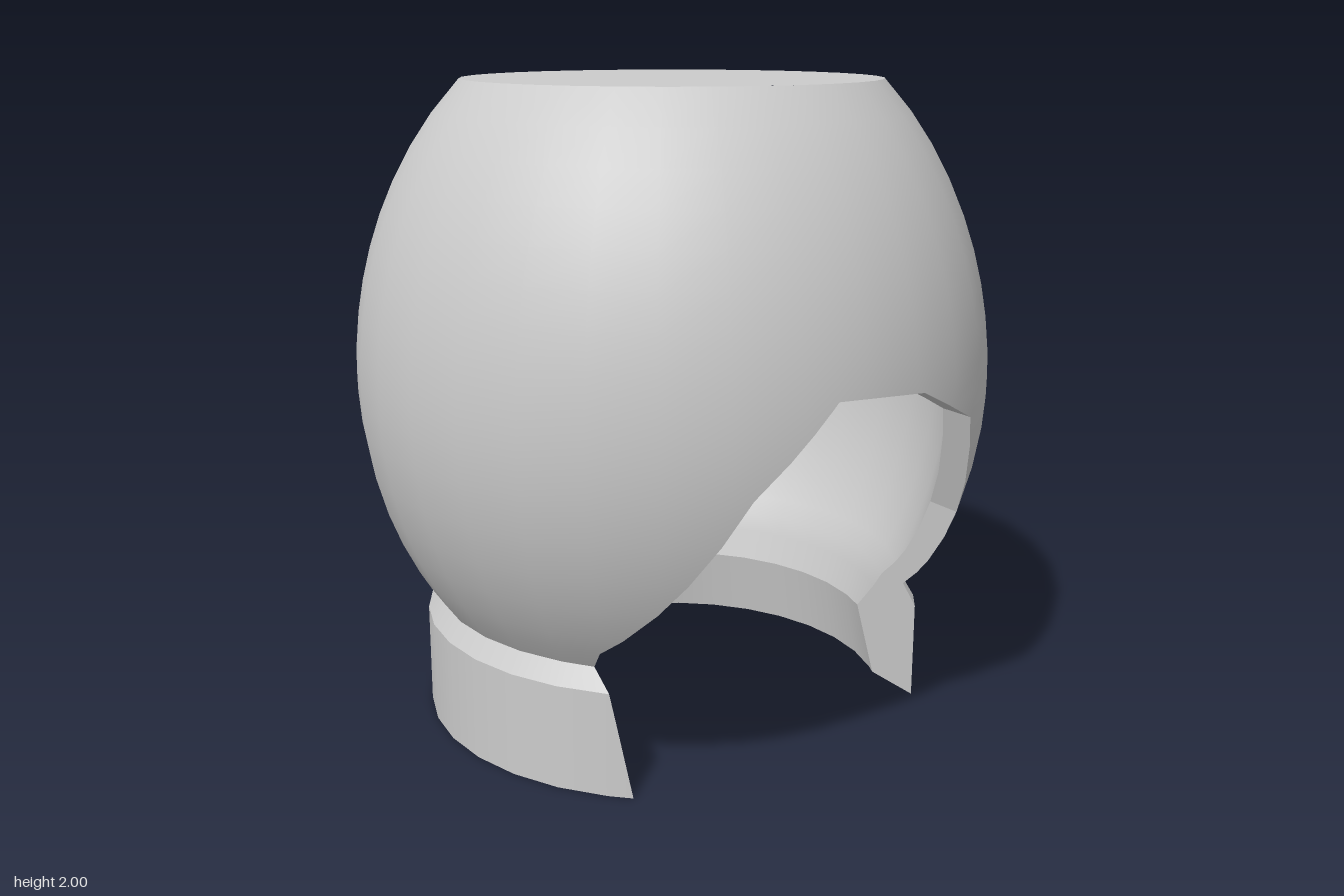
import * as THREE from 'three';

const SIDES = 32;
const TOP_BREAK = 1.2;
// broken opening, as [height, x] from the bottom up
const leftEdge = [[0, -0.51], [0.44, -0.58], [0.95, -0.32], [1.2, -0.09]];
const rightEdge = [[0, 0.62], [0.7, 0.59], [1.05, 0.49], [1.18, 0.22], [1.2, -0.09]];

function edgeX(edge, y) {
  for (let i = 1; i < edge.length; i++) {
    const [y0, x0] = edge[i - 1], [y1, x1] = edge[i];
    if (y <= y1) return x0 + (x1 - x0) * (y - y0) / (y1 - y0);
  }
  return edge[edge.length - 1][1];
}

// wall profiles: radius at a height
const oval = (y, r, below) => r * Math.sqrt(1 - ((y - 1.1) / (y > 1.1 ? 1.19 : below)) ** 2);
const bulbRadius = y => oval(y, 0.99, 1.125);
const collarRadius = y => y <= 0.32 ? 0.8 : 0.8 - (y - 0.32) * 0.667;
const innerCollarRadius = y => 0.69 - 0.04 * y / 0.22;
const innerBulbRadius = y => y < 0.38 ? 0.65 + 0.31 * (y - 0.22) : oval(y, 0.89, 1.167);
const innerRadius = y => y <= 0.22 ? innerCollarRadius(y) : innerBulbRadius(y);
const outerRadius = y => y < 0.38 ? collarRadius(y) : bulbRadius(y);

const lowRows = [0, 0.22, 0.32, 0.38, 0.44, 0.5, 0.6, 0.7, 0.82, 0.95, 1.05, 1.12, 1.18, 1.2];

// angles at which the wall begins and ends around the opening
function gap(y, radius) {
  const h = Math.min(y, TOP_BREAK), r = radius(h);
  return [Math.asin(edgeX(rightEdge, h) / r), Math.asin(edgeX(leftEdge, h) / r) + Math.PI * 2];
}

function gridGeometry(rows, flip = false) {
  const pos = [], nor = [], index = [], n = rows[0].length;
  for (const row of rows) for (const v of row) {
    pos.push(v.p.x, v.p.y, v.p.z);
    nor.push(v.n.x, v.n.y, v.n.z);
  }
  for (let j = 0; j < rows.length - 1; j++) for (let i = 0; i < n - 1; i++) {
    const a = j * n + i, b = a + 1, c = a + n, d = c + 1;
    if (flip) index.push(a, d, b, a, c, d);
    else index.push(a, b, d, a, d, c);
  }
  const g = new THREE.BufferGeometry();
  g.setAttribute('position', new THREE.Float32BufferAttribute(pos, 3));
  g.setAttribute('normal', new THREE.Float32BufferAttribute(nor, 3));
  g.setIndex(index);
  return g;
}

const point = (r, a, y) => new THREE.Vector3(r * Math.sin(a), y, r * Math.cos(a));

// one ring of a wall, its columns held back to the edges of the opening
function ring(y, radius) {
  const [start, end] = gap(y, radius);
  const seam = gap(TOP_BREAK, radius)[0];
  const angles = [seam];
  for (let i = 0; i < SIDES; i++) angles.push(i / SIDES * Math.PI * 2);
  angles.push(seam + Math.PI * 2);
  return angles.map(a => point(radius(y), Math.min(Math.max(a, start), end), y));
}

// revolved wall with smooth normals taken from the profile slope
function wall(heights, radius, inward = false) {
  const lo = heights[0], hi = heights[heights.length - 1], sign = inward ? -1 : 1;
  const rows = heights.map(y => {
    const y0 = Math.max(lo, y - 0.05), y1 = Math.min(hi, y + 0.05);
    const slope = (radius(y1) - radius(y0)) / (y1 - y0);
    return ring(y, radius).map(p => ({
      p,
      n: new THREE.Vector3(p.x, -slope * Math.hypot(p.x, p.z), p.z).normalize().multiplyScalar(sign)
    }));
  });
  return gridGeometry(rows, inward);
}

// flat-shaded strip between two lines of points
function strip(first, second, flip) {
  const up = new THREE.Vector3(0, 1, 0);
  const g = gridGeometry([first, second].map(line => line.map(p => ({ p, n: up }))), flip);
  const flat = g.toNonIndexed();
  flat.computeVertexNormals();
  return flat;
}

export function createModel() {
  const group = new THREE.Group();
  const solid = new THREE.MeshStandardMaterial({ color: 0xcccccc });
  const thin = new THREE.MeshStandardMaterial({ color: 0xcccccc, side: THREE.DoubleSide, flatShading: true });
  const add = (name, geometry, material = solid) => {
    const mesh = new THREE.Mesh(geometry, material);
    mesh.name = name;
    group.add(mesh);
    return mesh;
  };

  // disc whose corners line up with the wall columns
  const disc = (name, radius, y, tilt) => {
    const mesh = add(name, new THREE.CircleGeometry(radius, SIDES));
    mesh.rotation.x = tilt;
    mesh.position.y = y;
  };

  // outer bulb and flat top
  const upper = [1.3, 1.4, 1.5, 1.6, 1.7, 1.8, 1.9];
  add('bulb', wall([...lowRows.filter(y => y >= 0.38), ...upper, 2], bulbRadius));
  disc('flatTop', bulbRadius(2), 2, -Math.PI / 2);

  // neck collar with its bevelled shoulder
  add('collar', wall([0, 0.22, 0.32], collarRadius));
  add('collarBevel', wall([0.32, 0.38], collarRadius));

  // hollow inside
  add('innerCollar', wall([0, 0.22], innerCollarRadius, true));
  add('innerBulb', wall([...lowRows.filter(y => y >= 0.22), ...upper], innerBulbRadius, true));
  disc('innerCeiling', innerBulbRadius(1.9), 1.9, Math.PI / 2);

  // underside of the collar
  add('collarUnderside', strip(ring(0, innerRadius), ring(0, outerRadius), true), thin);

  // thickness of the wall along both sides of the break
  ['rightBreak', 'leftBreak'].forEach((name, side) => {
    const line = radius => lowRows.map(y => point(radius(y), gap(y, radius)[side], y));
    add(name, strip(line(outerRadius), line(innerRadius), side === 1), thin);
  });

  return group;
}
